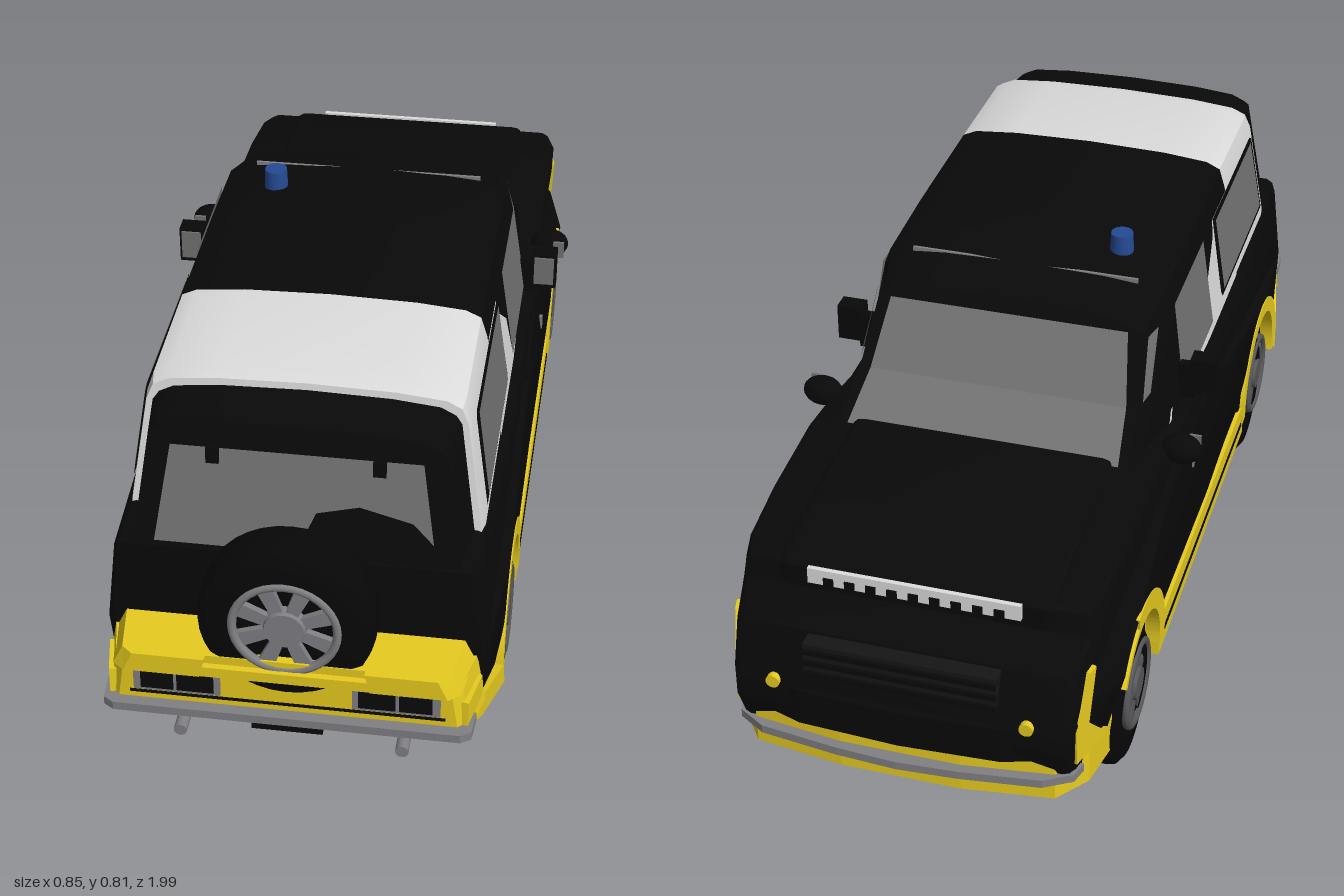
import * as THREE from 'three';
import { toCreasedNormals } from 'three/addons/utils/BufferGeometryUtils.js';

const mat = (name, color) => {
  const m = new THREE.MeshStandardMaterial({ color, side: THREE.DoubleSide });
  m.name = name;
  return m;
};
const lerp = THREE.MathUtils.lerp, clamp = THREE.MathUtils.clamp;

// Cabin side wall: half width by height, and its narrowing towards the windscreen
const wall = (y) => lerp(0.345, 0.308, (y - 0.46) / 0.25);
const screenZ = (y) => (y > 0.59 ? lerp(-0.31, -0.21, (y - 0.59) / 0.15) : lerp(-0.535, -0.31, (y - 0.46) / 0.13));
const tailZ = (y) => lerp(0.868, 0.808, (y - 0.46) / 0.285);
const cabinX = (y, z) => wall(y) * (z < -0.1 ? 1 - 0.1 * (-0.1 - z) / (-0.1 - screenZ(y)) : 1);

export function createModel() {
  const root = new THREE.Group();
  root.name = 'offRoadCar';
  const black = mat('blackPaint', 0x090909), rubber = mat('rubber', 0x070707);
  const yellow = mat('yellowTrim', 0xf5d822), white = mat('whitePaint', 0xdcdcdc);
  const glass = mat('greyGlass', 0x727272), metal = mat('metal', 0x808084);
  const rimGrey = mat('rimGrey', 0x58585a), dark = mat('darkGrille', 0x161616), blue = mat('blueBeacon', 0x254a94);

  const add = (name, geo, m, parent = root) => {
    const mesh = new THREE.Mesh(geo, m);
    mesh.name = name;
    parent.add(mesh);
    return mesh;
  };
  const box = (name, m, x0, x1, y0, y1, z0, z1) => add(name,
    new THREE.BoxGeometry(x1 - x0, y1 - y0, z1 - z0).translate((x0 + x1) / 2, (y0 + y1) / 2, (z0 + z1) / 2), m);
  const poly = (pts) => new THREE.Shape(pts.map((p) => new THREE.Vector2(...p)));

  // Lower body: side profile with wheel arches, tapered at nose and tail
  const side = new THREE.Shape();
  side.moveTo(0.86, 0.16);
  [[0.875, 0.3], [0.868, 0.49], [0.4, 0.485], [0, 0.485], [-0.2, 0.485], [-0.32, 0.51], [-0.45, 0.525], [-0.65, 0.512],
    [-0.78, 0.5], [-0.84, 0.485], [-0.85, 0.44], [-0.92, 0.395], [-0.96, 0.3], [-0.965, 0.24], [-0.93, 0.15], [-0.786, 0.13]].forEach((p) => side.lineTo(...p));
  side.absarc(-0.614, 0.14, 0.172, Math.PI, 0, true);
  side.lineTo(-0.44, 0.09);
  side.lineTo(0.37, 0.09);
  side.absarc(0.544, 0.14, 0.172, Math.PI, 0, true);
  const body = new THREE.ExtrudeGeometry(side, { depth: 0.73, bevelSize: 0.02, bevelThickness: 0.02, bevelOffset: -0.02, bevelSegments: 2, curveSegments: 14 });
  body.translate(0, 0, -0.365).rotateY(-Math.PI / 2);
  const bp = body.attributes.position;
  for (let i = 0; i < bp.count; i++) {
    const y = bp.getY(i), z = bp.getZ(i);
    const nose = clamp((-0.75 - z) / 0.2, 0, 1), tail = clamp((z - 0.72) / 0.15, 0, 1);
    const belt = clamp((y - 0.34) / 0.15, 0, 1), sill = clamp((0.25 - y) / 0.1, 0, 1);
    bp.setX(i, bp.getX(i) * (1 - 0.06 * belt) * (1 - 0.035 * sill) * (1 - 0.13 * nose) * (1 - 0.06 * tail));
  }
  add('lowerBody', toCreasedNormals(body, 0.6), black);
  box('underbody', black, -0.225, 0.225, 0.08, 0.46, -0.8, 0.76);

  // Cabin: rings of [z by height, roofHeight, widthScale], rear to front
  const loft = (name, m, stations) => {
    const rings = stations.map(([zAt, top, k]) => {
      const half = [[wall(0.46), 0.46], [wall(0.59), 0.59], [wall(0.71), 0.71], [0.295, top - 0.027], [0.265, top - 0.013], [0.17, top - 0.004]];
      const all = [...half, [0, top], ...half.map(([x, y]) => [-x, y]).reverse()];
      return all.map(([x, y]) => [x * k, y, zAt(y)]);
    });
    const v = [], n = rings[0].length, last = rings.length - 1;
    const quad = (a, b, c, d) => v.push(...a, ...b, ...c, ...a, ...c, ...d);
    for (let i = 0; i < last; i++) for (let j = 0; j < n - 1; j++) quad(rings[i][j], rings[i + 1][j], rings[i + 1][j + 1], rings[i][j + 1]);
    for (let j = 0; j < (n - 1) / 2; j++) {
      const r = rings[0], f = rings[last], k = n - 1 - j;
      quad(r[j], r[j + 1], r[k - 1], r[k]);
      quad(f[k], f[k - 1], f[j + 1], f[j]);
    }
    const g = new THREE.BufferGeometry();
    g.setAttribute('position', new THREE.Float32BufferAttribute(v, 3));
    add(name, toCreasedNormals(g, 0.6), m);
  };
  const at = (z) => () => z;
  const whiteEnd = (y) => lerp(0.74, 0.7, (y - 0.46) / 0.31);
  loft('tailgateFrame', black, [[tailZ, 0.746, 0.9], [(y) => whiteEnd(y) - 0.01, 0.755, 0.95]]);
  loft('whiteRearCabin', white, [[whiteEnd, 0.768, 0.985], [(y) => whiteEnd(y) - 0.03, 0.775, 1], [at(0.41), 0.78, 1]]);
  loft('frontCabin', black, [[at(0.41), 0.78, 1], [at(0.1), 0.78, 1], [at(-0.1), 0.772, 1], [screenZ, 0.742, 0.9]]);

  // Thin panels laid on both cabin walls; points are [z, y]
  const sidePanel = (name, m, pts, off) => [-1, 1].forEach((s) => {
    const g = new THREE.ShapeGeometry(poly(pts)), p = g.attributes.position;
    for (let i = 0; i < p.count; i++) {
      const z = p.getX(i), y = p.getY(i);
      p.setXYZ(i, s * (cabinX(y, z) + off), y, z);
    }
    if (s > 0) g.setIndex([...g.index.array].reverse());
    g.computeVertexNormals();
    add(name, g, m);
  });
  sidePanel('whiteQuarterPanel', white, [[0.42, 0.485], [0.14, 0.485], [0.17, 0.6], [0.26, 0.67], [0.27, 0.705], [0.42, 0.705]], 0.002);
  sidePanel('whiteBeltStrip', white, [[0.15, 0.485], [-0.2, 0.485], [-0.18, 0.508], [0.15, 0.508]], 0.002);
  sidePanel('beltLine', black, [[0.745, 0.462], [-0.09, 0.462], [-0.09, 0.486], [0.745, 0.486]], 0.004);
  sidePanel('rearWindowFrame', black, [[0.69, 0.515], [0.275, 0.515], [0.265, 0.53], [0.265, 0.71], [0.655, 0.71], [0.67, 0.7]], 0.005);
  sidePanel('rearSideWindow', glass, [[0.672, 0.528], [0.285, 0.528], [0.28, 0.7], [0.65, 0.7]], 0.008);
  sidePanel('doorWindow', glass, [[0.17, 0.512], [-0.11, 0.512], [-0.095, 0.71], [0.17, 0.71]], 0.006);
  sidePanel('quarterGlass', glass, [[-0.17, 0.7], [-0.215, 0.7], [-0.295, 0.595], [-0.255, 0.595]], 0.005);

  // Windscreen and rear window lie on the sloping cabin ends
  const endPanel = (name, m, pts, zAt, off) => {
    const g = new THREE.ShapeGeometry(poly(pts)), p = g.attributes.position;
    for (let i = 0; i < p.count; i++) p.setZ(i, zAt(p.getY(i)) + off);
    if (off < 0) g.setIndex([...g.index.array].reverse());
    g.computeVertexNormals();
    add(name, g, m);
  };
  endPanel('windscreenUpper', glass, [[-0.27, 0.59], [0.27, 0.59], [0.25, 0.715], [-0.25, 0.715]], screenZ, -0.005);
  endPanel('windscreenLower', glass, [[-0.283, 0.525], [0.283, 0.525], [0.27, 0.59], [-0.27, 0.59]], screenZ, -0.005);
  endPanel('rearWindow', glass, [[-0.265, 0.5], [0.265, 0.5], [0.235, 0.695], [-0.235, 0.695]], tailZ, 0.005);
  endPanel('rearWindowShade', black, [[0, 0.495], [0.28, 0.495], [0.26, 0.54], [0.22, 0.58], [0.12, 0.604], [0.04, 0.585]], tailZ, 0.009);
  [-1, 1].forEach((s) => box('rearWindowHinge', black, s * 0.155 - 0.012, s * 0.155 + 0.012, 0.667, 0.7, 0.81, 0.835));
  box('roofTrim', metal, -0.24, 0.24, 0.755, 0.767, -0.114, -0.108);

  // Beacon
  add('beacon', new THREE.CylinderGeometry(0.023, 0.025, 0.045, 20).translate(-0.18, 0.788, -0.01), blue);

  // Wheel facing +z: rounded tyre, rim ring, spokes and hub
  const wheel = (name, r, w, rim, rimMat, shift = 0) => {
    const g = new THREE.Group();
    g.name = name;
    const h = w / 2, c = 0.02;
    const prof = [[rim - 0.01, -h + 0.01], [rim, -h], [r - c, -h], [r - 0.004, -h + c * 0.6], [r, -h + c * 1.6], [r, h - c * 1.6],
      [r - 0.004, h - c * 0.6], [r - c, h], [rim, h], [rim - 0.01, h - 0.01]].map((p) => new THREE.Vector2(...p));
    add('tyre', toCreasedNormals(new THREE.LatheGeometry(prof, 36).rotateX(Math.PI / 2), 0.7), rubber, g).position.x = shift;
    add('wheelDisc', new THREE.CylinderGeometry(rim, rim, w - 0.03, 32).rotateX(Math.PI / 2), rubber, g);
    add('rimRing', new THREE.TorusGeometry(rim - 0.006, 0.009, 8, 36).translate(0, 0, h - 0.003), rimMat, g);
    for (let i = 0; i < 8; i++) {
      const s = new THREE.ExtrudeGeometry(poly([[-0.011, 0.02], [0.011, 0.02], [0.016, rim - 0.008], [-0.016, rim - 0.008]]), { depth: 0.014, bevelEnabled: false });
      add('spoke', s.translate(0, 0, h - 0.016).rotateZ((i + 0.5) * Math.PI / 4), rimMat, g);
    }
    add('hub', new THREE.CylinderGeometry(rim * 0.36, rim * 0.42, 0.02, 20).rotateX(Math.PI / 2).translate(0, 0, h - 0.005), rimMat, g);
    root.add(g);
    return g;
  };
  for (const s of [-1, 1]) for (const [z, shift] of [[0.544, -0.08], [-0.614, -0.035]]) {
    const w = wheel(z > 0 ? 'rearWheel' : 'frontWheel', 0.145, 0.145, 0.093, rimGrey, s < 0 ? shift : 0);
    w.position.set(s * 0.306, 0.145, z);
    w.rotation.y = s * Math.PI / 2;
  }
  wheel('spareWheel', 0.168, 0.11, 0.105, metal).position.set(0, 0.413, 0.928);

  // Yellow wheel arches and sills
  const arch = (name, z, a0, a1, rOut) => [-1, 1].forEach((s) => {
    const sh = new THREE.Shape();
    sh.absarc(z, 0.14, rOut, a0, a1, false);
    sh.absarc(z, 0.14, 0.155, a1, a0, true);
    const g = new THREE.ExtrudeGeometry(sh, { depth: 0.03, bevelEnabled: false, curveSegments: 24 });
    add(name, toCreasedNormals(g.translate(0, 0, -0.015).rotateY(-Math.PI / 2).translate(s * 0.372, 0, 0), 0.6), yellow);
  });
  arch('rearArch', 0.544, -0.15, Math.PI + 0.1, 0.19);
  arch('frontArch', -0.614, -0.1, 1.75, 0.197);
  arch('frontArchLip', -0.614, 1.75, 2.5, 0.17);

  // Upright corner plate: side outline [z, y], turned to follow the body taper
  const cornerPlate = (name, s, pts, x, z, angle) => {
    const g = new THREE.ExtrudeGeometry(poly(pts), { depth: 0.03, bevelEnabled: false });
    g.translate(-z, 0, -0.015).rotateY(-Math.PI / 2).rotateY(s * angle).translate(s * x, 0, z);
    add(name, g, yellow);
  };
  for (const s of [-1, 1]) {
    const bar = (name, m, x, w, y0, y1, z0, z1) => box(name, m, s * x - w / 2, s * x + w / 2, y0, y1, z0, z1);
    bar('sill', yellow, 0.368, 0.03, 0.085, 0.168, -0.45, 0.38);
    bar('sillStripe', black, 0.383, 0.004, 0.118, 0.128, -0.43, 0.36);
    // Wing and door mirrors
    bar('doorMirror', black, 0.384, 0.054, 0.52, 0.6, -0.125, -0.085);
    bar('doorMirrorGlass', glass, 0.385, 0.042, 0.53, 0.594, -0.086, -0.081);
    bar('doorMirrorArm', black, 0.347, 0.04, 0.5, 0.58, -0.115, -0.095);
    add('wingMirror', new THREE.SphereGeometry(1, 18, 12).scale(0.042, 0.032, 0.03).translate(s * 0.383, 0.503, -0.3), black);
    bar('wingMirrorGlass', glass, 0.405, 0.024, 0.484, 0.522, -0.276, -0.27);
    bar('wingMirrorArm', black, 0.345, 0.05, 0.48, 0.505, -0.32, -0.29);
    bar('doorHandle', black, 0.372, 0.016, 0.425, 0.44, 0.07, 0.14);
    bar('wingMarker', metal, 0.379, 0.008, 0.365, 0.395, -0.17, -0.16);
    // Exhausts
    add('exhaust', new THREE.CylinderGeometry(0.013, 0.013, 0.26, 14).rotateX(Math.PI / 2).translate(s * 0.215, 0.103, 0.815), metal);
    // Rear lamps
    bar('rearLampFrame', metal, 0.208, 0.165, 0.235, 0.288, 0.97, 0.983);
    bar('rearLamp', black, 0.172, 0.07, 0.243, 0.28, 0.98, 0.987);
    bar('rearLamp', black, 0.245, 0.062, 0.243, 0.28, 0.98, 0.987);
    // Front indicators and yellow corners
    add('indicator', new THREE.CylinderGeometry(0.014, 0.014, 0.02, 14).rotateX(Math.PI / 2).translate(s * 0.25, 0.295, -0.96), yellow);
    cornerPlate('frontCorner', s, [[-0.82, 0.2], [-0.93, 0.2], [-0.935, 0.28], [-0.885, 0.39], [-0.86, 0.39], [-0.885, 0.27]], 0.34, -0.87, 0.25);
    cornerPlate('rearCorner', s, [[0.72, 0.11], [0.87, 0.15], [0.97, 0.2], [0.965, 0.26], [0.88, 0.26], [0.87, 0.2], [0.73, 0.16]], 0.36, 0.8, -0.2);
  }

  // Bumpers: half plan outline [x, z] mirrored, raised between two heights, top narrowed by k
  const plan = (name, m, pts, y0, y1, k = 1) => {
    const all = [...pts, ...pts.map(([x, z]) => [-x, z]).reverse()];
    const g = new THREE.ExtrudeGeometry(poly(all), { depth: y1 - y0, bevelEnabled: false }).rotateX(Math.PI / 2).translate(0, y1, 0);
    const p = g.attributes.position;
    for (let i = 0; i < p.count; i++) if (p.getY(i) > (y0 + y1) / 2) p.setX(i, p.getX(i) * k);
    g.computeVertexNormals();
    add(name, g, m);
  };
  plan('rearBumper', yellow, [[0.365, 0.87], [0.345, 0.955], [0.325, 0.975]], 0.19, 0.3, 0.95);
  plan('rearBumperLip', yellow, [[0.16, 0.868], [0.345, 0.868], [0.328, 0.98], [0.305, 0.998], [0.16, 0.998], [0.16, 0.985]], 0.292, 0.334, 0.94);
  box('rearBumperBridge', yellow, -0.17, 0.17, 0.294, 0.316, 0.984, 0.998);
  plan('rearBumperSkirt', yellow, [[0.35, 0.84], [0.335, 0.93]], 0.16, 0.195);
  plan('rearRail', metal, [[0.354, 0.93], [0.35, 0.985], [0.33, 0.998]], 0.19, 0.208);
  box('rearBumperGroove', black, -0.3, 0.3, 0.222, 0.227, 0.97, 0.978);
  box('towPlate', black, -0.068, 0.068, 0.158, 0.186, 0.86, 0.978);
  box('rearValance', black, -0.35, 0.35, 0.1, 0.2, 0.73, 0.8);
  plan('frontBumper', yellow, [[0.368, -0.78], [0.35, -0.88], [0.3, -0.945], [0.12, -0.968]], 0.115, 0.205);
  plan('frontRail', metal, [[0.345, -0.9], [0.335, -0.935], [0.28, -0.968], [0.12, -0.988], [0, -0.995]], 0.158, 0.176);
  plan('frontBumperUpper', black, [[0.33, -0.8], [0.325, -0.93], [0.2, -0.97], [0, -0.98]], 0.205, 0.285);

  // Grille and bonnet details
  box('grille', dark, -0.19, 0.19, 0.31, 0.39, -0.955, -0.84);
  for (let i = 0; i < 3; i++) box('grilleBar', black, -0.19, 0.19, 0.318 + i * 0.026, 0.328 + i * 0.026, -0.962, -0.94);
  const bonnet = new THREE.ExtrudeGeometry(poly([[-0.42, 0.5], [-0.42, 0.526], [-0.65, 0.52], [-0.8, 0.505], [-0.845, 0.485], [-0.845, 0.44]]),
    { depth: 0.5, bevelSize: 0.006, bevelThickness: 0.02, bevelSegments: 2 });
  add('bonnetPanel', toCreasedNormals(bonnet.translate(0, 0, -0.25).rotateY(-Math.PI / 2), 0.6), black);
  box('bonnetTrim', white, -0.21, 0.21, 0.46, 0.494, -0.86, -0.85);
  for (let i = -4; i <= 4; i++) box('bonnetTrimSlot', black, i * 0.042 - 0.01, i * 0.042 + 0.01, 0.459, 0.478, -0.863, -0.855);

  return root;
}
